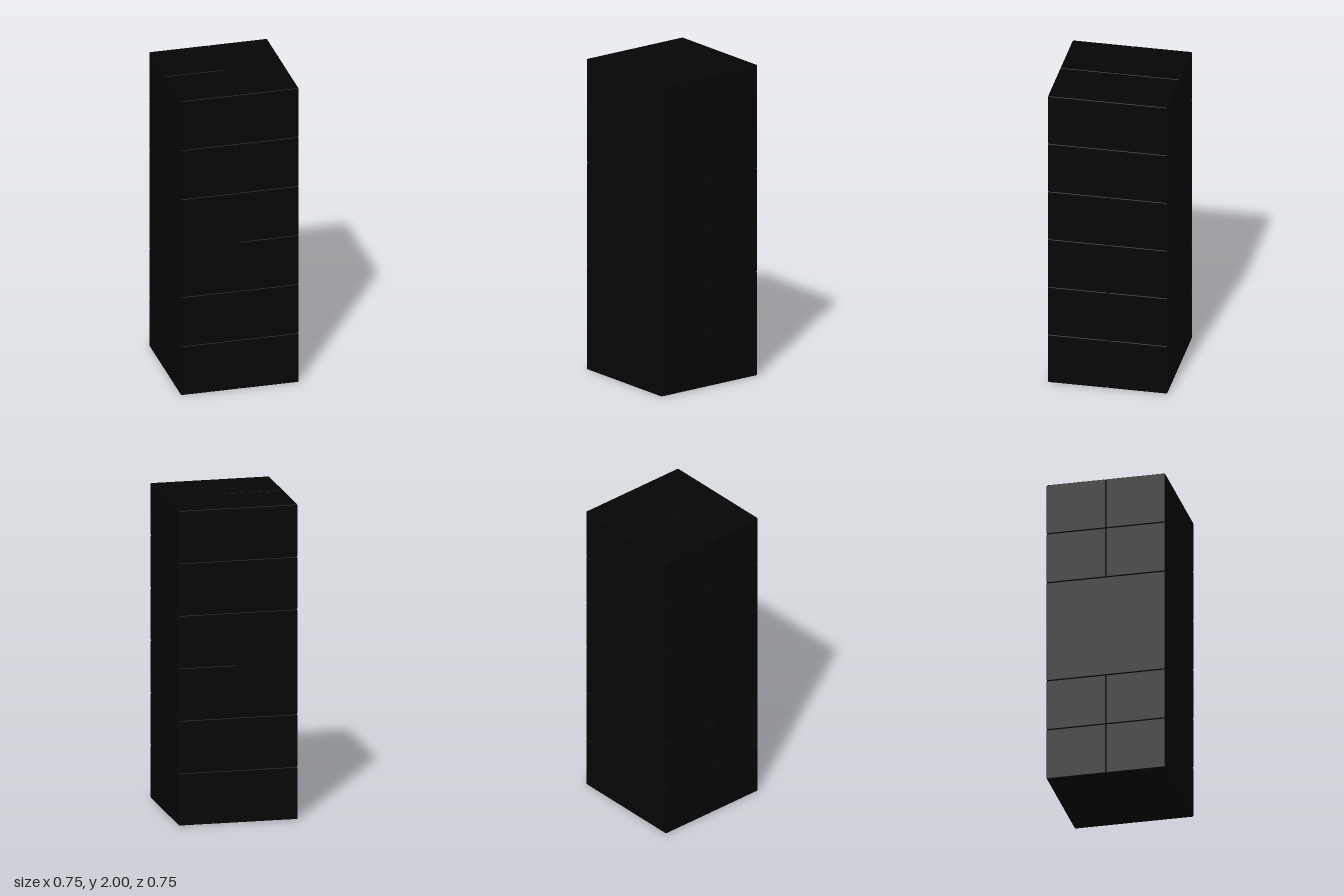
import * as THREE from 'three';
import { RoundedBoxGeometry } from 'three/addons/geometries/RoundedBoxGeometry.js';

// Cell grid: 2 x 6 x 2, each cell W wide and deep, H tall
const W = 0.377, H = 1 / 3, GAP = 0.002, BEVEL = 0.005;

export function createModel() {
  const tower = new THREE.Group();
  tower.name = 'blockTower';
  const material = new THREE.MeshStandardMaterial({ color: 0x050505 });

  // Block starting at cell (i, j, k), spanning (nx, ny, nz) cells
  function block(name, i, j, k, nx = 1, ny = 1, nz = 1) {
    const geometry = new RoundedBoxGeometry(
      nx * W - GAP, ny * H - GAP, nz * W - GAP, 2, BEVEL);
    const mesh = new THREE.Mesh(geometry, material);
    mesh.name = name;
    mesh.position.set((i + nx / 2 - 1) * W, (j + ny / 2) * H, (k + nz / 2 - 1) * W);
    tower.add(mesh);
  }

  // Two bottom layers: a long block across the back, two small ones in front
  for (const j of [0, 1]) {
    block('backLongBlock', 0, j, 0, 2, 1, 1);
    for (const i of [0, 1]) block('frontSmallBlock', i, j, 1);
  }

  // Middle: one large slab beside four small blocks
  block('largeSlab', 0, 2, 0, 1, 2, 2);
  for (const j of [2, 3]) for (const k of [0, 1]) block('middleSmallBlock', 1, j, k);

  // Two top layers: a long block on one side, two small ones on the other
  for (const j of [4, 5]) {
    block('sideLongBlock', 1, j, 0, 1, 1, 2);
    for (const k of [0, 1]) block('topSmallBlock', 0, j, k);
  }

  return tower;
}
